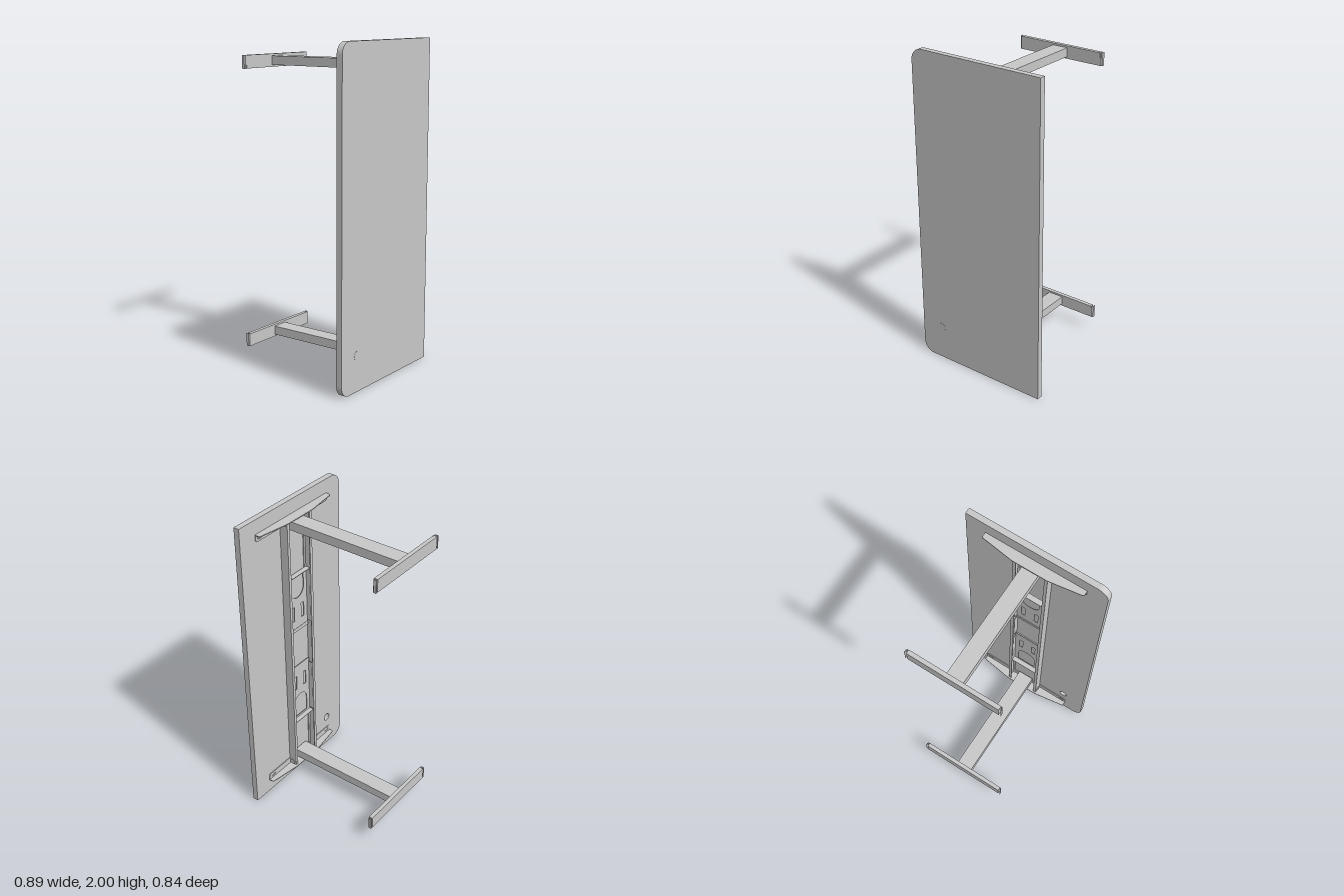
import * as THREE from 'three';
import { toCreasedNormals } from 'three/addons/utils/BufferGeometryUtils.js';

const grey = new THREE.MeshStandardMaterial({ color: 0xc8c8c8, side: THREE.DoubleSide });
grey.name = 'light grey';

function part(parent, name, geometry, x = 0, y = 0, z = 0) {
  const mesh = new THREE.Mesh(geometry, grey);
  mesh.name = name;
  mesh.position.set(x, y, z);
  parent.add(mesh);
  return mesh;
}

const box = (w, h, d) => new THREE.BoxGeometry(w, h, d);
const polygon = (pts) => new THREE.Shape(pts.map(([x, y]) => new THREE.Vector2(x, y)));

// Extrude along +z from z = 0, with smooth curved walls
function slab(shape, depth) {
  const g = new THREE.ExtrudeGeometry(shape, { depth, bevelEnabled: false, curveSegments: 20 });
  return toCreasedNormals(g, 0.6);
}

// Extrude an (x, z) profile along y, centred on y = 0
function alongY(pts, length) {
  return slab(polygon(pts), length).rotateX(Math.PI / 2).translate(0, length / 2, 0);
}

function rectHole(x0, y0, x1, y1) {
  const p = new THREE.Path();
  p.moveTo(x0, y0).lineTo(x0, y1).lineTo(x1, y1).lineTo(x1, y0).closePath();
  return p;
}

// Board with two rounded corners and a cable hole closed by a cap
function addTop(group) {
  const s = new THREE.Shape();
  const w = 0.445, r = 0.07;
  s.moveTo(w, 0).lineTo(w, 2).lineTo(-w + r, 2);
  s.absarc(-w + r, 2 - r, r, Math.PI / 2, Math.PI, false);
  s.lineTo(-w, r);
  s.absarc(-w + r, r, r, Math.PI, Math.PI * 1.5, false);
  s.closePath();
  const hole = new THREE.Path();
  hole.absarc(-0.295, 0.22, 0.026, 0, Math.PI * 2, true);
  s.holes.push(hole);
  part(group, 'tabletop', slab(s, 0.037), 0, 0, 0.382);
  const cap = new THREE.CylinderGeometry(0.027, 0.027, 0.006, 32).rotateX(Math.PI / 2);
  part(group, 'cableHoleCap', cap, -0.295, 0.22, 0.417);
}

// Long C-channel rail with a screw near each end
function addRail(group, side) {
  const t = 0.006, out = 0.11, inn = 0.09, top = 0.326, base = 0.38;
  const profile = [[out, top], [out, base], [inn, base], [inn, base - t],
    [out - t, base - t], [out - t, top + t], [inn, top + t], [inn, top]];
  part(group, 'rail', alongY(profile.map(([x, z]) => [x * side, z]), 1.81), 0, 1.005, 0);
  for (const y of [0.118, 1.892]) {
    const screw = new THREE.CylinderGeometry(0.016, 0.016, 0.006, 24).rotateZ(Math.PI / 2);
    part(group, 'railScrew', screw, side * 0.111, y, 0.353);
  }
}

// Tapered fin with a slotted flange turned inwards
function addBracket(group, end) {
  const y = 1 + end * 0.908;
  const fin = [[-0.32, 0.382], [-0.32, 0.352], [-0.314, 0.347], [-0.11, 0.317],
    [0.11, 0.317], [0.314, 0.347], [0.32, 0.352], [0.32, 0.382]];
  part(group, 'bracketFin', alongY(fin, 0.006), 0, y, 0);

  const flange = polygon([[-0.32, 0], [0.32, 0], [0.32, 0.035], [0.31, 0.045],
    [-0.31, 0.045], [-0.32, 0.035]]);
  for (const x of [-0.285, 0.285]) {
    const slot = new THREE.Path();
    slot.absarc(x + 0.012, 0.024, 0.008, -Math.PI / 2, Math.PI / 2, false);
    slot.absarc(x - 0.012, 0.024, 0.008, Math.PI / 2, Math.PI * 1.5, false);
    flange.holes.push(slot);
  }
  const mesh = part(group, 'bracketFlange', slab(flange, 0.005), 0, y, 0.377);
  if (end > 0) {
    mesh.rotation.z = Math.PI;
  }
}

// Straight column and wide foot with hooked end caps
function addLeg(group, y) {
  const leg = new THREE.Group();
  leg.name = 'leg';
  leg.position.y = y;
  group.add(leg);
  part(leg, 'column', box(0.103, 0.055, 0.78), 0, 0, -0.015);
  part(leg, 'foot', box(0.566, 0.079, 0.025), 0, 0, -0.4075);
  for (const s of [-1, 1]) {
    const hook = [[0.27, -0.397], [0.29, -0.397], [0.296, -0.403], [0.296, -0.42],
      [0.293, -0.42], [0.293, -0.404], [0.289, -0.4], [0.27, -0.4]];
    part(leg, 'footEndCap', alongY(hook.map(([x, z]) => [x * s, z]), 0.081));
  }
}

// Cable tray: two punched plates mirrored about a recessed middle pan
function addTray(group) {
  const tray = new THREE.Group();
  tray.name = 'cableTray';
  tray.position.y = 0.985;
  group.add(tray);
  const w = 0.09;
  for (const end of [1, -1]) {
    const half = new THREE.Group();
    half.name = 'trayHalf';
    if (end < 0) half.rotation.z = Math.PI;
    tray.add(half);

    const plate = polygon([[-w, 0.15], [w, 0.15], [w, 0.54], [-w, 0.54]]);
    const notch = new THREE.Path();
    notch.moveTo(-0.06, 0.525).lineTo(-0.06, 0.425);
    notch.absarc(0, 0.425, 0.06, Math.PI, Math.PI * 2, false);
    notch.lineTo(0.06, 0.525).closePath();
    plate.holes.push(notch);
    for (const x of [-0.045, 0.045]) {
      plate.holes.push(rectHole(x - 0.012, 0.21, x + 0.012, 0.31));
    }
    part(half, 'trayPlate', slab(plate, 0.004), 0, 0, 0.36);
    part(half, 'trayEndWall', box(w * 2, 0.004, 0.034), 0, 0.54, 0.346);
    part(half, 'trayStep', box(w * 2, 0.004, 0.018), 0, 0.15, 0.37);
    part(half, 'trayLip', box(w * 2, 0.025, 0.004), 0, 0.14, 0.36);
    for (const x of [-w, w]) {
      part(half, 'traySideWall', box(0.004, 0.37, 0.03), x, 0.345, 0.347);
    }
  }
  part(tray, 'trayMiddlePan', box(w * 2, 0.3, 0.004), 0, 0, 0.376);
  part(tray, 'trayMiddleWall', box(0.004, 0.24, 0.04), w, 0, 0.356);
}

export function createModel() {
  const group = new THREE.Group();
  group.name = 'desk';
  addTop(group);
  for (const s of [-1, 1]) {
    addRail(group, s);
    addBracket(group, s);
  }
  addLeg(group, 0.146);
  addLeg(group, 1.861);
  addTray(group);
  return group;
}
